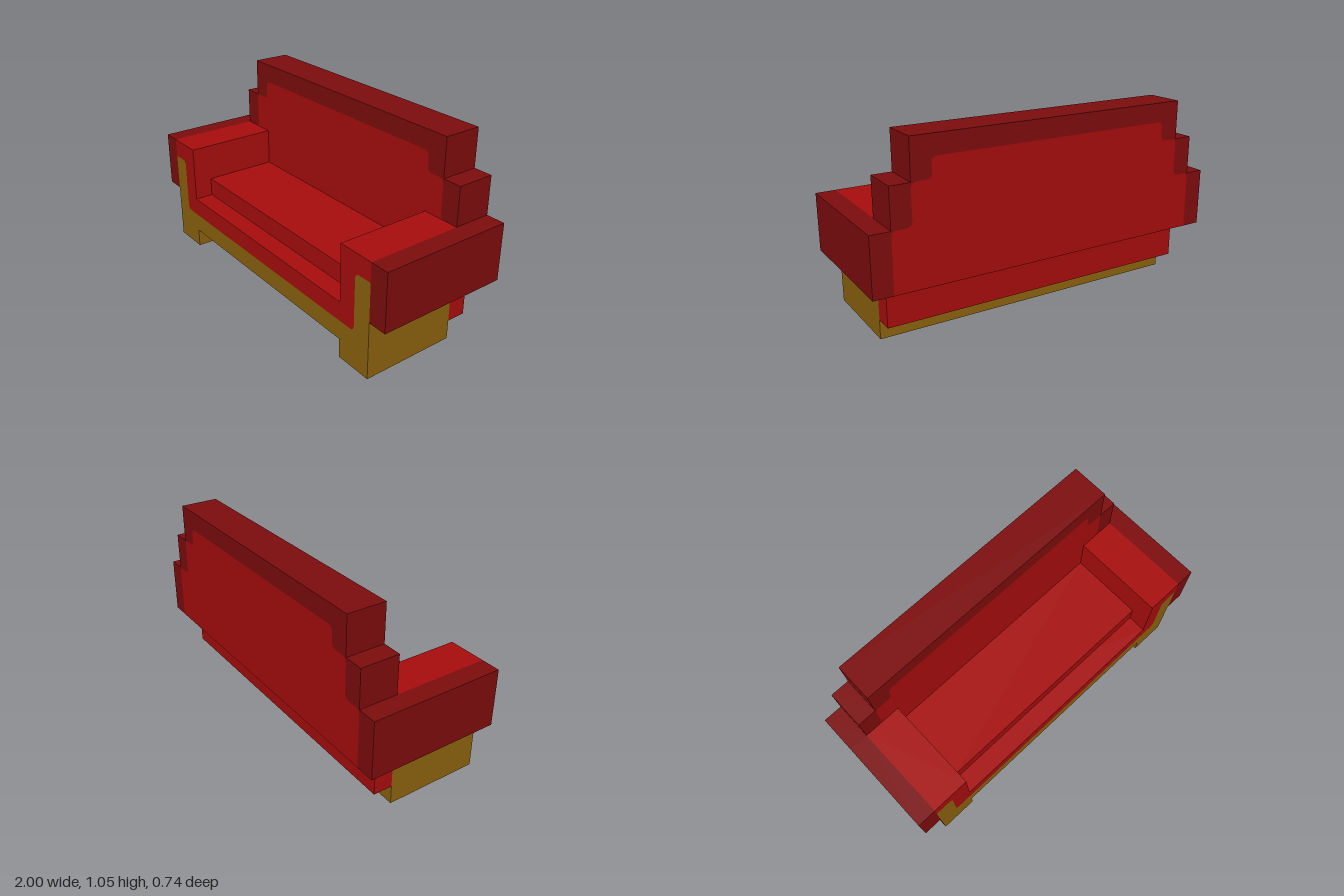
import * as THREE from 'three';

const U = 2 / 19; // one block of the stepped design
const R = 0.3;    // soft corner where two colours meet

const mat = (name, color) => {
  const m = new THREE.MeshStandardMaterial({ color });
  m.name = name;
  return m;
};

// Corner points are [x, y, optional radius].
const mirror = (pts) => pts.map(([x, y, r]) => [-x, y, r]).reverse();

function outline(pts) {
  const shape = new THREE.Shape();
  pts.forEach(([x, y, r = 0], i) => {
    const p = new THREE.Vector2(x, y);
    const toward = (q) => new THREE.Vector2(q[0], q[1]).sub(p).setLength(r).add(p);
    const a = toward(pts[(i + pts.length - 1) % pts.length]);
    const b = toward(pts[(i + 1) % pts.length]);
    if (i === 0) shape.moveTo(a.x, a.y);
    else shape.lineTo(a.x, a.y);
    if (r > 0) shape.quadraticCurveTo(p.x, p.y, b.x, b.y);
  });
  return shape;
}

export function createModel() {
  const sofa = new THREE.Group();
  sofa.name = 'sofa';
  const red = mat('red fabric', 0xa60d0d);
  const darkRed = mat('dark red trim', 0x7c0c0d);
  const wood = mat('golden wood', 0x8a610e);

  const add = (name, geometry, material) => {
    const mesh = new THREE.Mesh(geometry, material);
    mesh.name = name;
    sofa.add(mesh);
  };
  const slab = (name, pts, z0, z1, material) => {
    const g = new THREE.ExtrudeGeometry(outline(pts), { depth: z1 - z0, bevelEnabled: false, curveSegments: 4 });
    add(name, g.translate(0, 0, z0), material);
  };
  const block = (name, x0, x1, y0, y1, z0, z1, material) => {
    const g = new THREE.BoxGeometry(x1 - x0, y1 - y0, z1 - z0);
    add(name, g.translate((x0 + x1) / 2, (y0 + y1) / 2, (z0 + z1) / 2), material);
  };

  // Backrest: stepped red panel inside a dark stepped rim
  const rim = [[9.5, 3], [9.5, 6], [8.5, 6], [8.5, 8], [7.5, 8], [7.5, 10]];
  const panel = [[6.5, 9, R], [6.5, 8, R], [7.5, 8, R], [7.5, 6, R], [8.5, 6, R], [8.5, 3]];
  slab('backrestRim', [...rim, ...mirror(rim), ...mirror(panel), ...panel], -3.5, -1.5, darkRed);
  slab('backrestPanel', [...mirror(panel), ...panel], -3.5, -1.5, red);

  // U-shaped wooden frame, with a toe recess under the front
  const frameTop = [[8.5, 5], [7.5, 5, R], [7.5, 2, R]];
  const full = [[8.5, 0], ...frameTop];
  const notched = [[6.5, 1], [6.5, 0], ...full];
  slab('woodFrame', [...full, ...mirror(full)], -1.5, 2.5, wood);
  slab('woodFrameFront', [...notched, ...mirror(notched)], 2.5, 3.5, wood);

  // Upholstery filling the frame and forming both arms
  const fill = [[6.5, 3], [6.5, 6], [8.5, 6], ...frameTop];
  slab('seatAndArms', [...fill, ...mirror(fill)], -1.5, 3.5, red);
  block('seatCushion', -6.5, 6.5, 3, 4, -1.5, 2.5, red);

  // Dark outer arm pads
  for (const [name, x] of [['leftArmPad', 8.5], ['rightArmPad', -9.5]]) {
    block(name, x, x + 1, 3, 6, -1.5, 3.5, darkRed);
  }

  // Lower padding behind the seat
  block('lowerBackPadding', -8.5, 8.5, 1, 3, -2.5, -1.5, red);

  sofa.scale.setScalar(U);
  return sofa;
}
